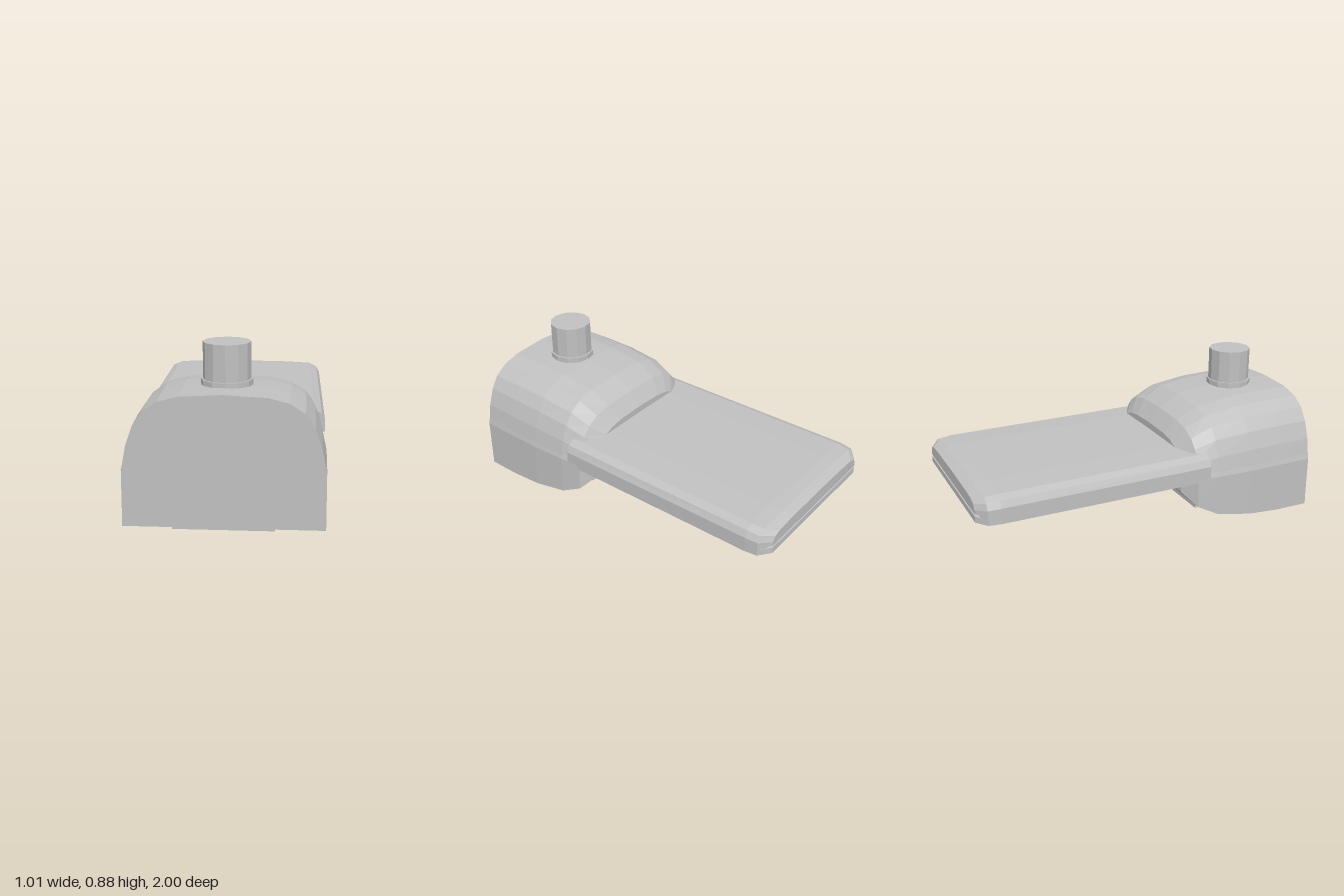
import * as THREE from 'three';

// Joins equal-length rings (counter-clockwise from +z, ordered +z to -z) and caps both ends
function loft(rings) {
  const pos = [];
  const tri = (...pts) => pts.forEach((p) => pos.push(...p));
  const n = rings[0].length;
  for (let r = 0; r < rings.length - 1; r++) {
    const a = rings[r], b = rings[r + 1];
    for (let i = 0; i < n; i++) {
      const j = (i + 1) % n;
      tri(a[i], b[i], b[j]);
      tri(a[i], b[j], a[j]);
    }
  }
  const cap = (ring, flip) => {
    for (let i = 1; i < n - 1; i++) {
      if (flip) tri(ring[0], ring[i + 1], ring[i]);
      else tri(ring[0], ring[i], ring[i + 1]);
    }
  };
  cap(rings[0], false);
  cap(rings[rings.length - 1], true);
  const geo = new THREE.BufferGeometry();
  geo.setAttribute('position', new THREE.Float32BufferAttribute(pos, 3));
  geo.computeVertexNormals();
  return geo;
}

// Mirrors a right-hand half profile (bottom to top) into a closed ring at depth z
function ring(half, z) {
  const left = half.filter(([x]) => x > 0).reverse().map(([x, y]) => [-x, y]);
  return [...half, ...left].map(([x, y]) => [x, y, z]);
}

export function createModel() {
  const group = new THREE.Group();
  const grey = new THREE.MeshStandardMaterial({ color: 0xc0c0c0, flatShading: true });
  grey.name = 'grey';
  const add = (name, geo, x = 0, y = 0, z = 0) => {
    const mesh = new THREE.Mesh(geo, grey);
    mesh.name = name;
    mesh.position.set(x, y, z);
    group.add(mesh);
  };

  // Arched body: depth, half width, bottom and top of each section
  const arch = [[1, 0], [0.985, 0.08], [0.95, 0.32], [0.88, 0.58], [0.785, 0.77],
    [0.635, 0.9], [0.43, 0.97], [0, 1]];
  const bodySections = [
    [1, 0.493, 0.01, 0.675], [0.8, 0.5, 0.014, 0.675], [0.6, 0.503, 0.03, 0.668],
    [0.39, 0.497, 0.07, 0.638], [0.27, 0.477, 0.13, 0.57], [0.205, 0.39, 0.2, 0.485],
  ];
  add('body', loft(bodySections.map(([z, w, bottom, top]) => ring([
    [w * 1.004, bottom],
    ...arch.map(([x, t]) => [x * w, 0.3 + t * (top - 0.3)]),
  ], z))));

  // Foot under the body
  add('foot', new THREE.BoxGeometry(0.5, 0.1, 0.613), 0, 0.05, 0.6915);

  // Rear slab: crowned upper shell, thin core and base plate, leaving a slit at the tail
  const shell = (z, w, top, shoulder) => ring([
    [w, 0.337], [w, shoulder], [w - 0.018, shoulder + 0.55 * (top - shoulder)],
    [w - 0.06, shoulder + 0.84 * (top - shoulder)], [w * 0.55, top - 0.003], [0, top],
  ], z);
  add('slabShell', loft([
    shell(0.33, 0.504, 0.446, 0.375), shell(-0.88, 0.504, 0.441, 0.375),
    shell(-0.95, 0.495, 0.434, 0.37), shell(-1, 0.43, 0.41, 0.36),
  ]));
  const plate = (z, w, y0, y1) => ring([[w, y0], [w, y1]], z);
  add('slabCore', loft([
    plate(0.33, 0.504, 0.31, 0.337), plate(-0.88, 0.504, 0.31, 0.337),
    plate(-0.95, 0.495, 0.31, 0.337), plate(-0.975, 0.455, 0.31, 0.337),
  ]));
  add('slabBase', loft([
    plate(0.255, 0.504, 0.29, 0.324), plate(-0.88, 0.504, 0.29, 0.324),
    plate(-0.95, 0.495, 0.29, 0.324), plate(-1, 0.43, 0.29, 0.324),
  ]));

  // Knob and its collar
  add('knobCollar', new THREE.CylinderGeometry(0.13, 0.13, 0.055, 12), 0, 0.6695, 0.735);
  add('knob', new THREE.CylinderGeometry(0.12, 0.12, 0.22, 12), 0, 0.772, 0.735);

  return group;
}
